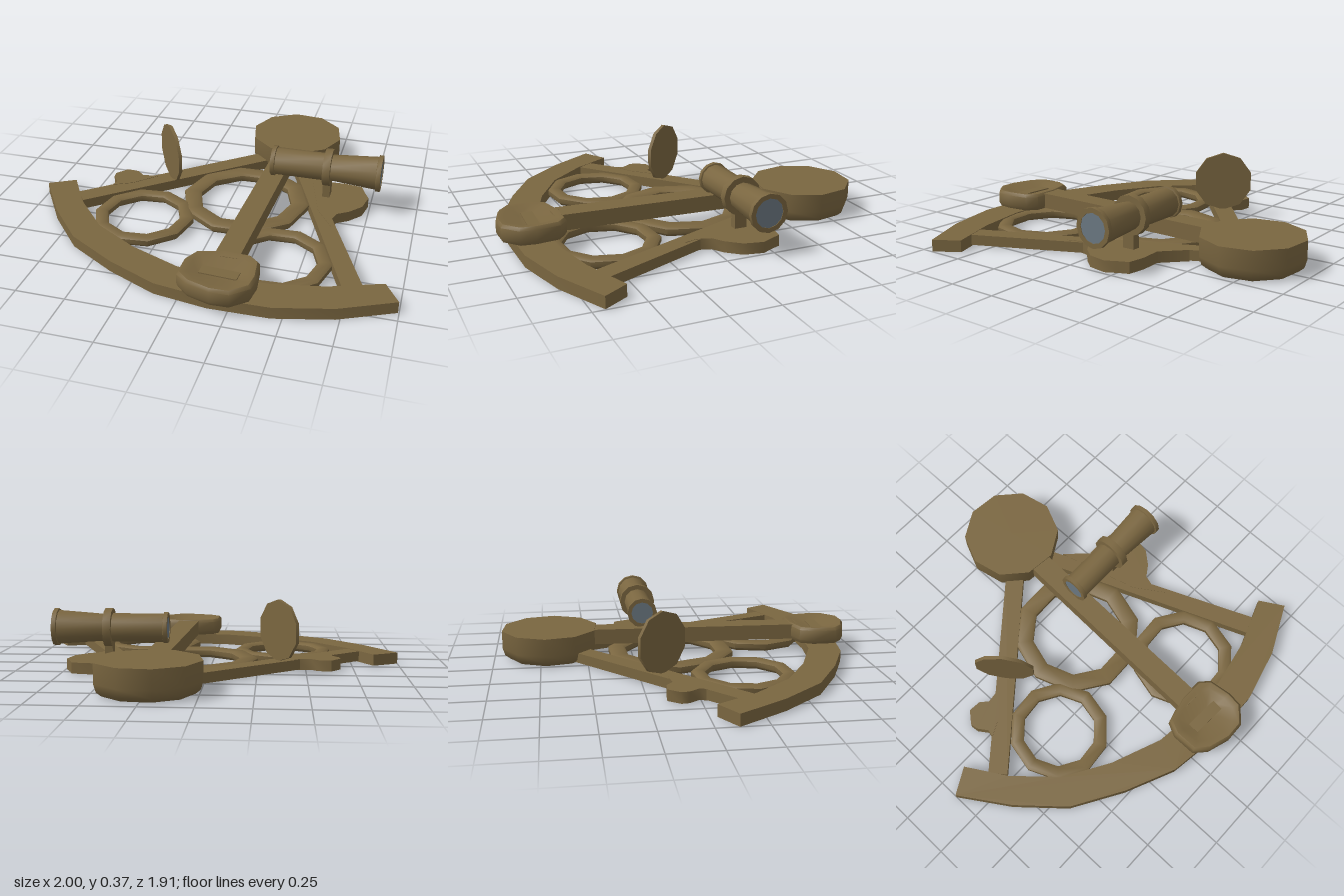
import * as THREE from 'three';
import { toCreasedNormals } from 'three/addons/utils/BufferGeometryUtils.js';

export function createModel() {
  const model = new THREE.Group();
  const brass = new THREE.MeshStandardMaterial({ color: 0x7a6640 });
  brass.name = 'aged brass';
  const glass = new THREE.MeshStandardMaterial({ color: 0x6b7882 });
  glass.name = 'lens glass';

  const add = (name, geometry, material = brass, parent = model) => {
    const mesh = new THREE.Mesh(geometry, material);
    mesh.name = name;
    parent.add(mesh);
    return mesh;
  };
  const soft = (geometry) => toCreasedNormals(geometry, 0.9);

  // Flat plate from a plan outline of [x, z] points, with a small bevel low down
  const slab = (outline, y0, y1) => {
    const shape = new THREE.Shape(outline.map(([x, z]) => new THREE.Vector2(x, -z)));
    const g = new THREE.ExtrudeGeometry(shape, { depth: y1 - y0, bevelEnabled: false });
    g.rotateX(-Math.PI / 2).translate(0, y0, 0);
    return soft(g);
  };

  // Graduated arc
  const arcOuter = [[-1, 0.11], [-0.835, 0.36], [-0.64, 0.58], [-0.38, 0.735], [-0.12, 0.85],
    [0.15, 0.89], [0.45, 0.885], [0.73, 0.815], [0.995, 0.69]];
  const arcInner = [[-0.865, 0.035], [-0.74, 0.24], [-0.555, 0.445], [-0.32, 0.585], [-0.055, 0.69],
    [0.15, 0.715], [0.4, 0.71], [0.66, 0.66], [0.92, 0.565]];
  add('arc', slab([...arcOuter, ...arcInner.reverse()], 0, 0.06));

  // Frame legs and their lugs
  add('rightLeg', slab([[0.06, -0.57], [-0.8, 0.15], [-0.74, 0.23], [0.13, -0.5]], 0.005, 0.058));
  add('leftLeg', slab([[0.26, -0.5], [0.735, 0.66], [0.83, 0.63], [0.345, -0.5]], 0.005, 0.058));
  add('rightLug', slab([[-0.44, -0.13], [-0.525, -0.12], [-0.565, -0.155], [-0.63, -0.16], [-0.68, -0.1],
    [-0.675, -0.06], [-0.64, -0.01], [-0.65, 0.03], [-0.55, -0.02]], 0.003, 0.06));
  add('leftLug', slab([[0.38, -0.43], [0.49, -0.32], [0.6, -0.325], [0.69, -0.31], [0.71, -0.26],
    [0.74, -0.2], [0.72, -0.1], [0.66, -0.03], [0.6, 0.01], [0.58, 0.08], [0.6, 0.15], [0.5, 0]], 0.003, 0.06));

  // Ten-sided bracing rings
  for (const [name, x, z, inner, outer, turn] of [
    ['centreRing', 0.095, -0.05, 0.25, 0.345, 0.03],
    ['rightRing', -0.38, 0.26, 0.195, 0.265, 0.1],
    ['leftRing', 0.38, 0.475, 0.205, 0.277, 0.06]]) {
    const b = 0.015;
    const profile = [[inner, 0.02], [inner + b, 0.005], [outer - b, 0.005], [outer, 0.02],
      [outer, 0.045], [outer - b, 0.055], [inner + b, 0.055], [inner, 0.045], [inner, 0.02]];
    const g = new THREE.LatheGeometry(profile.map((p) => new THREE.Vector2(...p)), 10, Math.PI / 2 + turn);
    add(name, soft(g)).position.set(x, 0, z);
  }

  // Pivot drum
  const drumProfile = [[0, 0], [0.225, 0], [0.25, 0.02], [0.262, 0.06], [0.262, 0.155], [0, 0.155]];
  const drum = new THREE.LatheGeometry(drumProfile.map((p) => new THREE.Vector2(...p)), 10, 0.21);
  add('pivotDrum', soft(drum)).position.set(0.243, 0, -0.698);

  // Swinging index arm
  add('indexArm', slab([[0.17, -0.5], [0.125, 0.68], [0.245, 0.68], [0.285, -0.5]], 0.068, 0.15));

  // Arm end with a dished top, lofted from scaled copies of one outline
  const endOutline = [[0.035, 0.665], [0.17, 0.63], [0.3, 0.635], [0.35, 0.68], [0.365, 0.8], [0.355, 0.88],
    [0.275, 0.95], [0.18, 0.953], [0.06, 0.915], [0, 0.86], [0, 0.735]];
  const cx = 0.183, cz = 0.785, n = endOutline.length;
  const loops = [[0, 0, 0.065], [0.94, 0.94, 0.065], [1, 1, 0.085], [1, 1, 0.14], [0.93, 0.93, 0.155],
    [0.75, 0.75, 0.152], [0.55, 0.3, 0.128], [0, 0, 0.128]];
  const positions = [], index = [];
  for (const [sx, sz, y] of loops) {
    for (const [x, z] of endOutline) positions.push(cx + (x - cx) * sx, y, cz + (z - cz) * sz);
  }
  for (let r = 0; r < loops.length - 1; r++) {
    for (let i = 0; i < n; i++) {
      const a = r * n + i, b = r * n + (i + 1) % n;
      index.push(a, a + n, b, b, a + n, b + n);
    }
  }
  const endGeometry = new THREE.BufferGeometry();
  endGeometry.setAttribute('position', new THREE.Float32BufferAttribute(positions, 3));
  endGeometry.setIndex(index);
  add('armEnd', soft(endGeometry));
  const reader = add('scaleReader', new THREE.BoxGeometry(0.185, 0.008, 0.06));
  reader.position.set(cx, 0.13, cz);
  reader.rotation.y = -0.06;

  // Upright ten-sided mirror standing on the right leg
  const mirror = new THREE.CylinderGeometry(0.16, 0.16, 0.018, 10);
  mirror.rotateX(Math.PI / 2);
  const mirrorMesh = add('horizonMirror', soft(mirror));
  mirrorMesh.position.set(-0.36, 0.213, -0.15);
  mirrorMesh.rotation.y = Math.atan2(0.8, -0.6);

  // Telescope turned along x, with flanges and a clamp ring
  const scope = new THREE.Group();
  scope.name = 'telescope';
  scope.position.set(0, 0.225, -0.188);
  model.add(scope);
  const tube = [[0, 0.215], [0.06, 0.215], [0.06, 0.208], [0.082, 0.208], [0.082, 0.23], [0.074, 0.232],
    [0.074, 0.495], [0.1, 0.495], [0.1, 0.535], [0.07, 0.535], [0.088, 0.775], [0.097, 0.777],
    [0.097, 0.8], [0.073, 0.8], [0.073, 0.792], [0, 0.792]];
  const tubeGeometry = new THREE.LatheGeometry(tube.map((p) => new THREE.Vector2(...p)), 12);
  add('telescopeTube', soft(tubeGeometry.rotateZ(-Math.PI / 2)), brass, scope);
  for (const [name, x, r, side] of [['eyepieceLens', 0.211, 0.06, -1], ['objectiveLens', 0.797, 0.073, 1]]) {
    const lens = add(name, new THREE.CircleGeometry(r, 12), glass, scope);
    lens.position.x = x;
    lens.rotation.y = side * Math.PI / 2;
  }

  // Post carrying the telescope
  add('telescopePost', new THREE.BoxGeometry(0.04, 0.09, 0.065)).position.set(0.515, 0.095, -0.182);

  return model;
}
